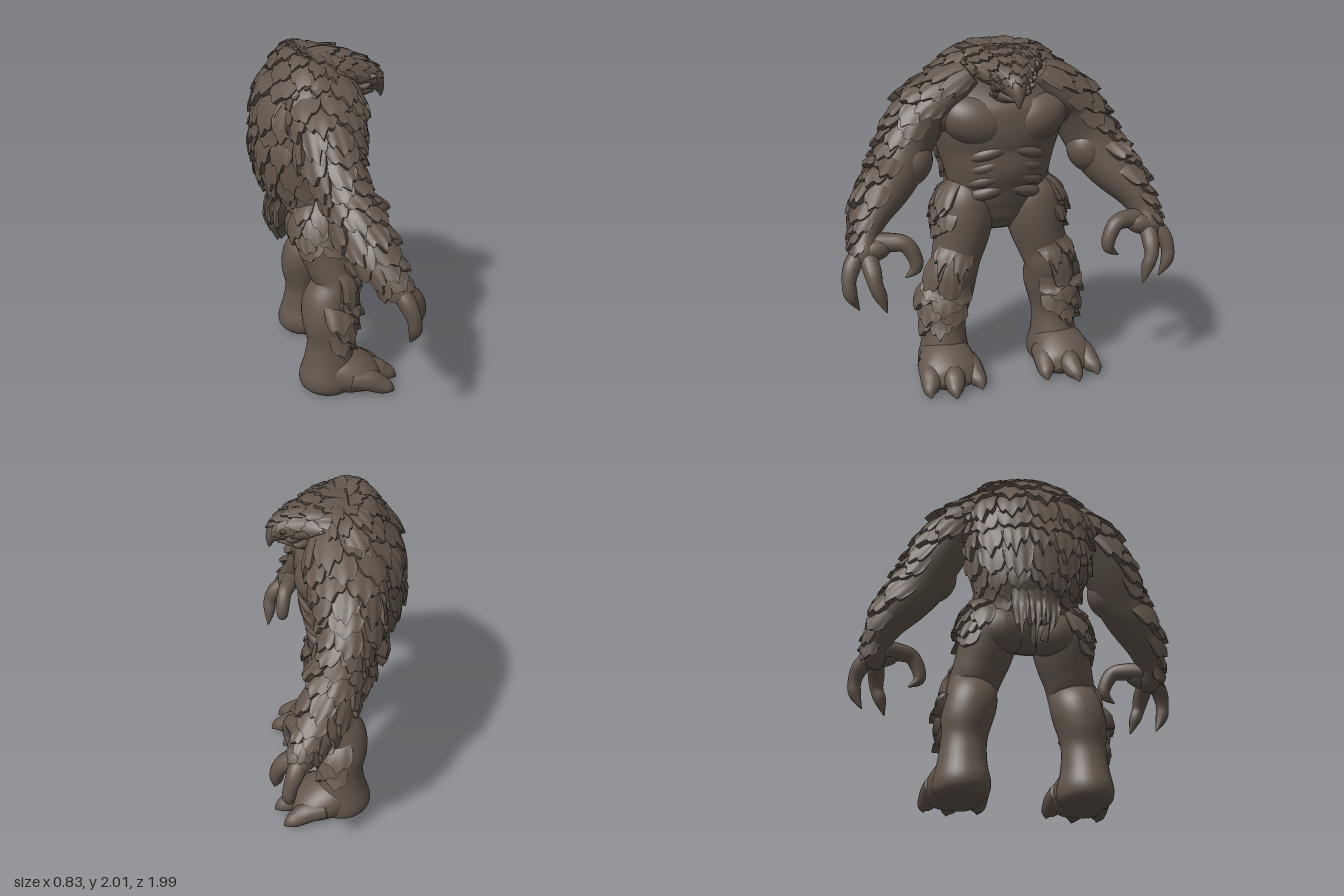
import * as THREE from 'three';
import { mergeGeometries } from 'three/addons/utils/BufferGeometryUtils.js';

const hide = new THREE.MeshStandardMaterial({ color: 0x62564c });
hide.name = 'brownHide';
const X = new THREE.Vector3(1, 0, 0), Y = new THREE.Vector3(0, 1, 0);

let seed = 7;
const rand = () => (seed = (seed * 16807) % 2147483647) / 2147483647;
const jit = (a) => (rand() - 0.5) * 2 * a;

// Smooth tube surface through sections [x, y, z, radiusAlongRef, radiusAcross]; u counts sections
function surface(sec, ref = X) {
  const n = sec.length - 1;
  const at = (u) => {
    const i = Math.min(n - 1, Math.max(0, Math.floor(u))), t = Math.min(1, Math.max(0, u - i));
    const s = (k) => sec[Math.min(n, Math.max(0, k))];
    return sec[0].map((_, c) => {
      const [a, b, d, e] = [s(i - 1)[c], s(i)[c], s(i + 1)[c], s(i + 2)[c]];
      return 0.5 * (2 * b + (d - a) * t + (2 * a - 5 * b + 4 * d - e) * t * t + (3 * b - a - 3 * d + e) * t ** 3);
    });
  };
  const point = (u, v, k = 1) => {
    const p = at(u), a = at(Math.max(0, u - 0.3)), b = at(Math.min(n, u + 0.3));
    const T = new THREE.Vector3(b[0] - a[0], b[1] - a[1], b[2] - a[2]).normalize();
    const A = ref.clone().addScaledVector(T, -T.dot(ref)).normalize();
    const B = T.clone().cross(A);
    const q = new THREE.Vector3(p[0], p[1], p[2])
      .addScaledVector(A, Math.cos(v) * p[3] * k).addScaledVector(B, Math.sin(v) * p[4] * k);
    q.y = Math.max(q.y, 0.004);
    return q;
  };
  const normal = (u, v) => {
    const du = point(Math.min(n, u + 0.05), v).sub(point(Math.max(0, u - 0.05), v));
    return point(u, v + 0.03).sub(point(u, v - 0.03)).cross(du).normalize();
  };
  return { n, point, normal };
}

function build(pos, idx) {
  const g = new THREE.BufferGeometry();
  g.setAttribute('position', new THREE.Float32BufferAttribute(pos, 3));
  g.setIndex(idx);
  g.computeVertexNormals();
  return g;
}

// Closed skin over a surface
function skin(s, sides = 28, steps = 5) {
  const rows = [[0, 0]], pos = [], idx = [];
  for (let i = 0; i <= s.n * steps; i++) rows.push([i / steps, 1]);
  rows.push([s.n, 0]);
  rows.forEach(([u, k]) => {
    for (let j = 0; j < sides; j++) pos.push(...s.point(u, (j / sides) * Math.PI * 2, k).toArray());
  });
  for (let i = 0; i < rows.length - 1; i++) for (let j = 0; j < sides; j++) {
    const a = i * sides + j, b = i * sides + (j + 1) % sides, c = a + sides, d = b + sides;
    idx.push(a, b, c, b, d, c);
  }
  return build(pos, idx);
}

// One pointed scale that hugs a surface and lifts towards its tip
function scale(s, u0, v0, du, dv, lift) {
  const N = 10, M = 4, pos = [], idx = [], skew = jit(0.2), notch = 0.06 + rand() * 0.08;
  const vert = (i, j, sunk) => {
    const q = (j / N) * 2 - 1, t = i / M, e = Math.abs(q - skew);
    const u = Math.min(s.n, u0 + du * t * (1 - 0.42 * e ** 1.2 + notch * Math.cos(q * 9)));
    const v = v0 + dv * q * (1 - 0.12 * t);
    const off = sunk ? -0.012 : lift * (0.05 + t) * (1 - 0.3 * q * q) + 0.005 * (1 - Math.min(1, e * 3));
    pos.push(...s.point(u, v).addScaledVector(s.normal(u, v), off).toArray());
  };
  for (let i = 0; i <= M; i++) for (let j = 0; j <= N; j++) vert(i, j, false);
  for (let i = 0; i < M; i++) for (let j = 0; j < N; j++) {
    const a = i * (N + 1) + j, c = a + N + 1;
    idx.push(a, a + 1, c, a + 1, c + 1, c);
  }
  // Edge walls on both sides and around the tip
  const rim = [];
  for (let i = 0; i <= M; i++) rim.push([i, 0]);
  for (let j = 1; j <= N; j++) rim.push([M, j]);
  for (let i = M - 1; i >= 0; i--) rim.push([i, N]);
  const base = pos.length / 3;
  rim.forEach(([i, j]) => { vert(i, j, false); vert(i, j, true); });
  for (let k = 0; k < rim.length - 1; k++) {
    const a = base + k * 2;
    idx.push(a, a + 2, a + 1, a + 2, a + 3, a + 1);
  }
  return build(pos, idx);
}

// Staggered rows of scales; rows: [u, centre angle, half spread (degrees), count, length, lift]
function scales(s, rows) {
  const out = [], R = Math.PI / 180;
  rows.forEach(([u, mid, spread, count, len, lift], r) => {
    const w = (spread * 2) / count;
    for (let i = 0; i < count; i++) {
      const v = mid - spread + (i + 0.5 + (r % 2 ? 0.2 : -0.2)) * w;
      out.push(scale(s, u + jit(0.06), (v + jit(w * 0.06)) * R, len * (1 + jit(0.12)), w * 0.58 * R, lift * (1 + jit(0.25))));
    }
  });
  return mergeGeometries(out);
}

function blob(x, y, z, a, b, c, tilt = 0) {
  return new THREE.SphereGeometry(1, 28, 20).scale(a, b, c).rotateX(tilt).translate(x, y, z);
}

function mirrored(geo) {
  const g = geo.clone().scale(1, 1, -1), ix = g.index.array;
  for (let i = 0; i < ix.length; i += 3) [ix[i], ix[i + 1]] = [ix[i + 1], ix[i]];
  g.computeVertexNormals();
  return g;
}

export function createModel() {
  seed = 7;
  const model = new THREE.Group();
  model.name = 'scaledBeast';
  const add = (name, geo) => {
    const m = new THREE.Mesh(geo, hide);
    m.name = name;
    model.add(m);
  };
  // The beast faces +x, so its right side is +z
  const pair = (name, geo) => { add(name + 'Right', geo); add(name + 'Left', mirrored(geo)); };

  // Torso, from the hump down to the crotch
  const torso = surface([
    [-0.03, 1.978, 0, 0.03, 0.08], [-0.03, 1.958, 0, 0.12, 0.21], [-0.05, 1.9, 0, 0.18, 0.32],
    [-0.07, 1.8, 0, 0.22, 0.4], [-0.085, 1.68, 0, 0.28, 0.42], [-0.075, 1.55, 0, 0.3, 0.4],
    [-0.08, 1.4, 0, 0.285, 0.36], [-0.06, 1.26, 0, 0.265, 0.315], [-0.05, 1.15, 0, 0.205, 0.29],
    [-0.05, 1.05, 0, 0.17, 0.26], [-0.04, 0.95, 0, 0.13, 0.15], [-0.02, 0.89, 0, 0.07, 0.06]]);
  add('torso', skin(torso, 48, 5));
  add('backScales', scales(torso, [
    [0.15, 180, 180, 8, 1.1, 0.016], [0.9, 180, 130, 8, 1.2, 0.025], [1.7, 180, 100, 6, 1.2, 0.03],
    [2.5, 180, 90, 6, 1.2, 0.035], [3.3, 180, 85, 7, 1.2, 0.042], [4.1, 180, 80, 6, 1.2, 0.045],
    [4.9, 180, 80, 7, 1.1, 0.045], [5.6, 180, 78, 6, 1.1, 0.045], [6.2, 180, 78, 7, 1.2, 0.045],
    [7.0, 180, 85, 7, 1.3, 0.03], [7.8, 180, 85, 6, 1.3, 0.03]]));
  add('hangingScales', scales(torso, [[7.3, 180, 26, 3, 2.3, 0.11]]));
  pair('chestMuscle', mergeGeometries([
    blob(0.075, 1.57, 0.16, 0.155, 0.15, 0.22, -0.35), blob(0.0, 1.64, 0.3, 0.15, 0.14, 0.17)]));
  pair('bellyMuscles', mergeGeometries([0, 1, 2, 3].map((i) =>
    blob(0.09 - 0.014 * i, 1.41 - i * 0.08, 0.08, 0.12, 0.062, 0.16, 0.3))));
  pair('buttock', blob(-0.1, 0.99, 0.16, 0.14, 0.15, 0.15));

  // Head with hooked beak, jaw and brow spikes
  const head = surface([
    [-0.08, 1.87, 0, 0.11, 0.28], [0.06, 1.865, 0, 0.105, 0.23], [0.16, 1.85, 0, 0.09, 0.16],
    [0.25, 1.815, 0, 0.08, 0.105], [0.31, 1.78, 0, 0.062, 0.062], [0.345, 1.735, 0, 0.03, 0.03],
    [0.355, 1.685, 0, 0.006, 0.006]], Y);
  add('head', skin(head, 32));
  add('headScales', scales(head, [[0.1, 0, 95, 6, 1.1, 0.022], [0.9, 0, 100, 5, 1.1, 0.022],
    [1.7, 0, 105, 6, 1.1, 0.02], [2.5, 0, 100, 4, 1.1, 0.016], [3.3, 0, 80, 3, 1, 0.01]]));
  add('jaw', skin(surface([[0.05, 1.72, 0, 0.08, 0.14], [0.17, 1.73, 0, 0.05, 0.09],
    [0.26, 1.73, 0, 0.03, 0.05], [0.31, 1.715, 0, 0.008, 0.01]], Y), 20));
  pair('browSpikes', mergeGeometries([
    [0.27, 1.83, 0.07, 0.13], [0.24, 1.785, 0.085, 0.12], [0.2, 1.745, 0.08, 0.11]].map(([x, y, z, e]) =>
    skin(surface([[x - 0.05, y, z - 0.02, 0.035, 0.035], [x, y, z + 0.02, 0.022, 0.025], [x + 0.025, y + 0.015, e, 0.003, 0.003]], Y), 10, 3))));
  pair('eye', blob(0.292, 1.795, 0.062, 0.014, 0.012, 0.012));

  // Arms
  const arm = surface([
    [-0.03, 1.84, 0.19, 0.18, 0.095], [-0.04, 1.71, 0.35, 0.205, 0.13], [-0.045, 1.6, 0.45, 0.175, 0.145],
    [-0.03, 1.45, 0.54, 0.145, 0.15], [0.015, 1.32, 0.61, 0.135, 0.15], [0.06, 1.21, 0.69, 0.135, 0.135],
    [0.13, 1.08, 0.79, 0.115, 0.095], [0.19, 0.98, 0.84, 0.085, 0.075], [0.24, 0.9, 0.855, 0.075, 0.075],
    [0.27, 0.85, 0.86, 0.045, 0.05]]);
  pair('arm', skin(arm, 32));
  pair('biceps', blob(0.02, 1.34, 0.53, 0.115, 0.14, 0.115, -0.5));
  pair('shoulderScales', scales(arm, [[0.05, 95, 95, 4, 0.95, 0.03], [0.6, 95, 95, 4, 0.95, 0.038],
    [1.1, 95, 95, 4, 0.95, 0.045], [1.65, 95, 90, 4, 0.95, 0.045], [2.15, 95, 85, 3, 0.9, 0.045]]));
  pair('armScales', scales(arm, [[2.7, 100, 75, 3, 0.9, 0.035], [3.3, 95, 70, 3, 0.9, 0.042],
    [3.9, 95, 75, 3, 0.9, 0.05], [4.5, 95, 78, 3, 0.9, 0.05], [5.1, 95, 78, 3, 0.9, 0.05],
    [5.7, 95, 78, 2, 0.9, 0.045], [6.3, 95, 78, 3, 0.9, 0.035], [6.9, 95, 75, 2, 0.9, 0.03], [7.5, 95, 70, 2, 0.9, 0.02]]));

  // Palm, two fingers and a thumb, each digit ending in a claw
  const digit = (path, radii, ref) => skin(surface(path.map((p, i) => [...p, radii[i], radii[i]]), ref), 16);
  const fingerRadii = [0.05, 0.05, 0.04, 0.036, 0.004];
  pair('palm', blob(0.245, 0.92, 0.81, 0.062, 0.065, 0.11, 0.2));
  pair('outerFinger', digit([[0.23, 0.92, 0.87], [0.27, 0.85, 0.93], [0.3, 0.77, 0.956], [0.31, 0.69, 0.948], [0.3, 0.6, 0.905]], fingerRadii));
  pair('innerFinger', digit([[0.25, 0.9, 0.84], [0.33, 0.83, 0.83], [0.368, 0.76, 0.82], [0.372, 0.69, 0.795], [0.385, 0.6, 0.765]], fingerRadii));
  pair('thumb', digit([[0.21, 0.95, 0.81], [0.24, 0.955, 0.71], [0.27, 0.945, 0.63], [0.285, 0.87, 0.583], [0.29, 0.805, 0.58], [0.29, 0.757, 0.64]],
    [0.06, 0.054, 0.047, 0.042, 0.034, 0.004]));

  // Legs
  const leg = surface([
    [-0.04, 1.22, 0.19, 0.09, 0.08], [-0.03, 1.12, 0.205, 0.16, 0.155], [-0.03, 1.0, 0.215, 0.18, 0.175],
    [-0.015, 0.88, 0.235, 0.165, 0.165], [0.005, 0.76, 0.27, 0.135, 0.15], [0.025, 0.67, 0.295, 0.125, 0.145],
    [-0.02, 0.56, 0.31, 0.15, 0.15], [-0.03, 0.45, 0.335, 0.145, 0.145], [-0.025, 0.33, 0.345, 0.125, 0.13],
    [-0.02, 0.2, 0.35, 0.15, 0.14], [-0.02, 0.1, 0.35, 0.178, 0.16], [-0.02, 0.04, 0.35, 0.172, 0.155],
    [-0.02, 0.006, 0.35, 0.14, 0.13]]);
  pair('leg', skin(leg, 32));
  pair('thighScales', scales(leg, [[0.4, 110, 65, 3, 1.3, 0.035], [1.2, 105, 65, 3, 1.1, 0.035],
    [1.8, 100, 60, 3, 1, 0.035], [2.4, 95, 50, 2, 1, 0.03]]));
  pair('shinScales', scales(leg, [[3.8, 30, 42, 2, 1.1, 0.045], [4.4, 30, 50, 2, 1.3, 0.055],
    [5.2, 32, 55, 2, 1.2, 0.055], [6, 35, 60, 2, 1.2, 0.05], [6.7, 35, 60, 2, 1.2, 0.045], [7.4, 35, 50, 2, 1, 0.035]]));

  // Feet with three clawed toes
  pair('foot', skin(surface([[-0.1, 0.1, 0.35, 0.09, 0.1], [0, 0.12, 0.355, 0.135, 0.15],
    [0.1, 0.105, 0.36, 0.13, 0.172], [0.18, 0.085, 0.36, 0.105, 0.175], [0.24, 0.06, 0.36, 0.075, 0.15],
    [0.28, 0.045, 0.36, 0.03, 0.09]], Y), 32));
  pair('toes', mergeGeometries([[0.23, 0.32, 0.205], [0.36, 0.39, 0.375], [0.485, 0.34, 0.515]].map(([z, tip, tz]) =>
    digit([[0.08, 0.11, z], [tip - 0.15, 0.09, z], [tip - 0.08, 0.06, (z + tz) / 2], [tip - 0.035, 0.042, tz], [tip, 0.015, tz]],
      [0.055, 0.066, 0.056, 0.038, 0.005], Y))));
  return model;
}
